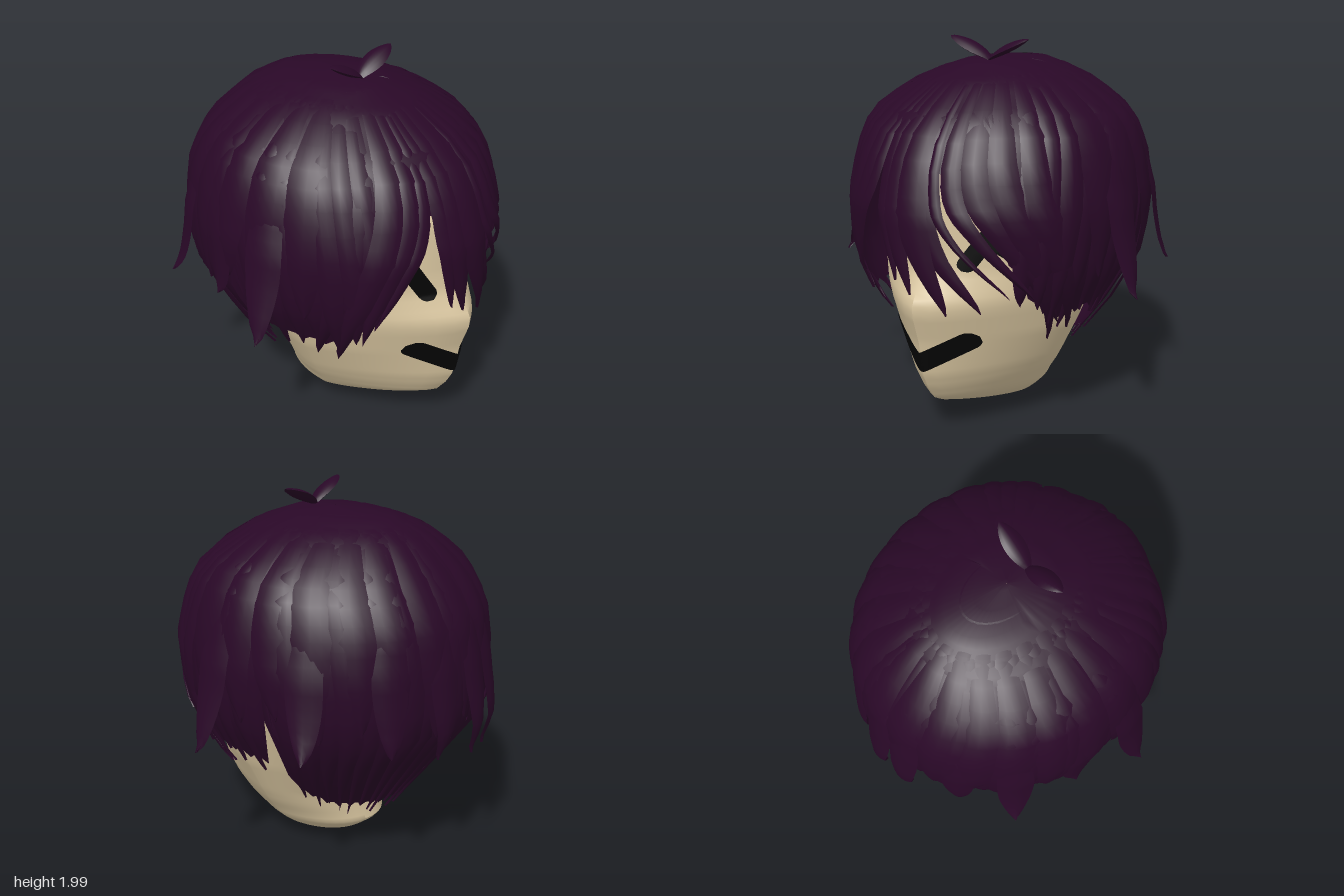
import * as THREE from 'three';
import { toCreasedNormals } from 'three/addons/utils/BufferGeometryUtils.js';
import { ParametricGeometry } from 'three/addons/geometries/ParametricGeometry.js';

const RAD = Math.PI / 180;
const skin = new THREE.MeshStandardMaterial({ color: 0xd9c6a0 });
const hair = new THREE.MeshStandardMaterial({ color: 0x290827, side: THREE.DoubleSide });
const ink = new THREE.MeshStandardMaterial({ color: 0x050505, side: THREE.DoubleSide });
skin.name = 'skin'; hair.name = 'hair'; ink.name = 'ink';

// Head sections: height, half width, front z, middle z, back z
const HEAD = [
  [0.005, 0.004, 0.124, 0.12, 0.116], [0.03, 0.13, 0.23, 0.10, -0.10], [0.08, 0.22, 0.40, 0.12, -0.19],
  [0.15, 0.30, 0.60, 0.14, -0.28], [0.2, 0.33, 0.70, 0.16, -0.27], [0.28, 0.385, 0.76, 0.17, -0.255],
  [0.36, 0.43, 0.80, 0.18, -0.25], [0.55, 0.52, 0.835, 0.2, -0.36], [0.64, 0.55, 0.865, 0.2, -0.43],
  [0.7, 0.57, 0.885, 0.2, -0.47], [0.76, 0.59, 0.885, 0.2, -0.5], [0.82, 0.61, 0.845, 0.2, -0.54],
  [0.9, 0.635, 0.80, 0.2, -0.57], [1.0, 0.66, 0.785, 0.2, -0.6], [1.3, 0.66, 0.785, 0.1, -0.6],
  [1.5, 0.55, 0.66, 0.05, -0.54], [1.65, 0.36, 0.4, 0, -0.36], [1.72, 0.02, 0.02, 0, -0.02],
];
// Hair envelope: height, half width, front depth, back depth
const HAIR = [
  [0.2, 0.29, 0.68, 0.31], [0.35, 0.39, 0.73, 0.42], [0.6, 0.58, 0.80, 0.61], [0.85, 0.715, 0.85, 0.79],
  [1.0, 0.745, 0.865, 0.815], [1.2, 0.765, 0.87, 0.82], [1.42, 0.73, 0.81, 0.79], [1.56, 0.68, 0.74, 0.71],
  [1.65, 0.615, 0.66, 0.64], [1.8, 0.40, 0.43, 0.49], [1.87, 0.20, 0.24, 0.33], [1.89, 0.002, 0.002, 0.002],
];
// Lower edge of the hair cap by angle away from the front
const HEM = [
  [0, 1.42], [22, 1.4], [30, 1.18], [38, 0.98], [48, 0.78], [60, 0.68], [90, 0.68], [93, 0.75],
  [96, 0.96], [99, 0.62], [102, 0.48], [120, 0.38], [180, 0.34],
];

function row(table, k) {
  const i = Math.max(1, table.findIndex((r) => r[0] >= k));
  const last = k > table[table.length - 1][0] ? table.length - 1 : i;
  const a = table[last - 1], b = table[last];
  const t = THREE.MathUtils.clamp((k - a[0]) / (b[0] - a[0]), 0, 1);
  return a.map((v, j) => v + (b[j] - v) * t);
}

function surface(fn, nu, nv, crease) {
  return toCreasedNormals(new ParametricGeometry(fn, nu, nv), crease);
}

function add(parent, name, geometry, material) {
  const mesh = new THREE.Mesh(geometry, material);
  mesh.name = name;
  parent.add(mesh);
}

// Front of the face, ridged down the centre line
function faceZ(x, y) {
  const [, w, zf, zm] = row(HEAD, y);
  const u = Math.min(1, Math.abs(x / w));
  return zm + (zf - zm) * Math.pow(1 - Math.pow(u, 1.3), 0.8);
}

function headPoint(u, v, p) {
  const a = (u * 2 - 1) * Math.PI;
  const y = 0.005 + 1.715 * Math.pow(v, 1.2);
  const [, w, , zm, zb] = row(HEAD, y);
  const x = w * Math.sin(a);
  p.set(x, y, Math.cos(a) >= 0 ? faceZ(x, y) : zm + (zm - zb) * Math.cos(a));
}

function hairPoint(deg, y, off, p) {
  const [, w, f, b] = row(HAIR, y);
  const c = Math.cos(deg * RAD), s = Math.sin(deg * RAD);
  p.set((w + off) * s, y, ((c > 0 ? f : b) + off) * c);
}

// Tapered lock lying on the hair envelope; path holds [angle, height]
function lock(parent, name, path, width, off = 0.012, flare = 0) {
  const curve = new THREE.SplineCurve(path.map(([a, y]) => new THREE.Vector2(a, y)));
  add(parent, name, surface((u, v, p) => {
    const t = THREE.MathUtils.clamp(1 - v, 0, 1), side = u * 2 - 1;
    const q = curve.getPoint(t);
    const half = width * (0.55 + 0.45 * Math.sin(Math.min(1, t * 1.6) * Math.PI / 2)) * (1 - Math.pow(t, 3)) + 0.02;
    const rise = Math.min(1, t * 4);
    hairPoint(q.x + side * half, q.y, rise * (off + 0.014 * (1 - side * side)) + flare * Math.pow(t, 2.5), p);
  }, 4, 14, 0.7), hair);
}

// Round-ended brush stroke following the face
function stroke(parent, name, [x0, y0], [x1, y1], r) {
  const len = Math.hypot(x1 - x0, y1 - y0), dx = (x1 - x0) / len, dy = (y1 - y0) / len;
  add(parent, name, surface((u, v, p) => {
    const s = -r + v * (len + 2 * r);
    const over = Math.max(0, -s, s - len);
    const d = (u * 2 - 1) * Math.sqrt(Math.max(0, r * r - over * over));
    const x = x0 + dx * s + dy * d, y = y0 + dy * s - dx * d;
    p.set(x, y, faceZ(x, y) + 0.009);
  }, 8, 28, 1), ink);
}

export function createModel() {
  const model = new THREE.Group();
  model.name = 'head';
  add(model, 'face', surface(headPoint, 48, 60, 0.8), skin);

  // Painted eyes and smile
  const marks = {
    rightEye: [[-0.35, 0.94], [-0.27, 1.12], [-0.16, 0.91]],
    leftEye: [[0.2, 0.95], [0.28, 1.08], [0.42, 0.96]],
    mouth: [[-0.205, 0.575], [0, 0.435], [0.2, 0.545]],
  };
  for (const [name, pts] of Object.entries(marks)) {
    for (let i = 0; i < 2; i++) stroke(model, name, pts[i], pts[i + 1], name === 'mouth' ? 0.05 : 0.042);
  }

  // Cap with a jagged hem
  const hairGroup = new THREE.Group();
  hairGroup.name = 'hair';
  model.add(hairGroup);
  add(hairGroup, 'hairCap', surface((u, v, p) => {
    const deg = u * 360 - 180, a = Math.abs(deg);
    const jag = a > 30 ? 0.05 * Math.abs(((a / 9) % 1) * 2 - 1) : 0;
    const hem = row(HEM, a)[1] - jag;
    const y = hem + (1.89 - hem) * (1 - (1 - v) * (1 - v));
    hairPoint(deg, y, 0, p);
  }, 120, 24, 0.6), hair);

  // Layered locks around the sides and back
  for (const m of [-1, 1]) {
    for (let i = 0; i < 19; i++) {
      const a = 44 + i * 7.4;
      if (a > 90 && a < 101) continue;
      const tip = row(HEM, a)[1] - 0.03 - 0.04 * ((i * 7 + (m > 0 ? 2 : 0)) % 3);
      const lean = a < 90 ? -3 : 3;
      lock(hairGroup, 'hairLock', [[m * a, 1.875], [m * a, 1.5], [m * (a + lean), 0.95], [m * (a + lean * 0.5), tip]],
        a > 101 ? 6.8 : 5.2, 0.004 + 0.007 * (i % 3));
    }
    // Shorter upper layer
    for (let i = 0; i < 8; i++) {
      const a = 66 + i * 15 + m * 3;
      lock(hairGroup, 'upperLock', [[m * a, 1.875], [m * (a + 1), 1.4], [m * (a + 3), 0.85 + 0.06 * (i % 3)]], 9, 0.02);
    }
  }

  // Fringe, as [x, height] paths on the front with a width
  const fringe = [
    [[[-0.06, 1.86], [-0.17, 1.4], [-0.165, 1.15], [-0.12, 0.86]], 5.5],
    [[[-0.03, 1.86], [-0.11, 1.4], [-0.1, 1.1], [-0.03, 0.8]], 7],
    [[[0, 1.86], [-0.02, 1.4], [0.03, 1.05], [0.15, 0.71]], 8],
    [[[0.01, 1.86], [0.01, 1.4], [0.1, 1.05], [0.3, 0.72]], 7],
    [[[0.03, 1.86], [0.1, 1.36], [0.2, 1.1], [0.42, 0.8]], 2.6],
    [[[0.06, 1.86], [0.18, 1.38], [0.31, 1.12], [0.5, 0.78]], 4.5],
    [[[0.09, 1.86], [0.28, 1.4], [0.42, 1.1], [0.52, 0.6]], 6.5],
    [[[0.12, 1.86], [0.4, 1.4], [0.53, 1.0], [0.45, 0.5]], 6.5],
    [[[0.155, 1.86], [0.52, 1.4], [0.6, 1.0], [0.51, 0.55]], 6.5],
    [[[-0.07, 1.86], [-0.28, 1.38], [-0.39, 1.1], [-0.46, 0.8]], 4],
    [[[-0.095, 1.86], [-0.34, 1.4], [-0.45, 1.1], [-0.46, 0.68]], 5.5],
    [[[-0.12, 1.86], [-0.42, 1.4], [-0.53, 1.0], [-0.45, 0.52]], 6.5],
    [[[-0.155, 1.86], [-0.52, 1.4], [-0.6, 1.0], [-0.485, 0.52]], 6.5],
  ];
  fringe.forEach(([path, width], i) => {
    const polar = path.map(([x, y]) => [Math.asin(x / row(HAIR, y)[1]) / RAD, y]);
    lock(hairGroup, 'fringeLock', polar, width, 0.004 + 0.007 * (i % 3));
  });

  // Tips that flick outward: angle, tip height, flare
  const flicks = [[78, 0.75, 0.24], [-78, 0.75, 0.24], [113, 0.8, 0.18], [-124, 0.82, 0.18],
    [142, 0.8, 0.1], [180, 0.7, 0.16], [-167, 0.68, 0.16], [164, 0.72, 0.1], [-145, 0.75, 0.08], [-100, 0.85, 0.06]];
  for (const [a, tip, flare] of flicks) {
    lock(hairGroup, 'flickedLock', [[a, 1.55], [a, 1.3], [a, 1.0], [a, tip]], 7.5, 0.012, flare);
  }

  // Two-leaf tuft on the crown
  for (const m of [-1, 1]) {
    for (const lift of [-0.024, 0.024]) {
      add(hairGroup, 'crownTuft', surface((u, v, p) => {
        const s = u * 2 - 1, w = Math.pow(Math.max(0, Math.sin(Math.PI * (0.08 + 0.92 * v))), 0.7);
        p.set(m * 0.235 * v, 1.88 + 0.112 * Math.pow(v, 0.8) + w * (lift * (1 - s * s) - 0.012 * s),
          0.135 + 0.058 * s * w + 0.01 * v);
      }, 6, 12, 0.8), hair);
    }
  }
  return model;
}
